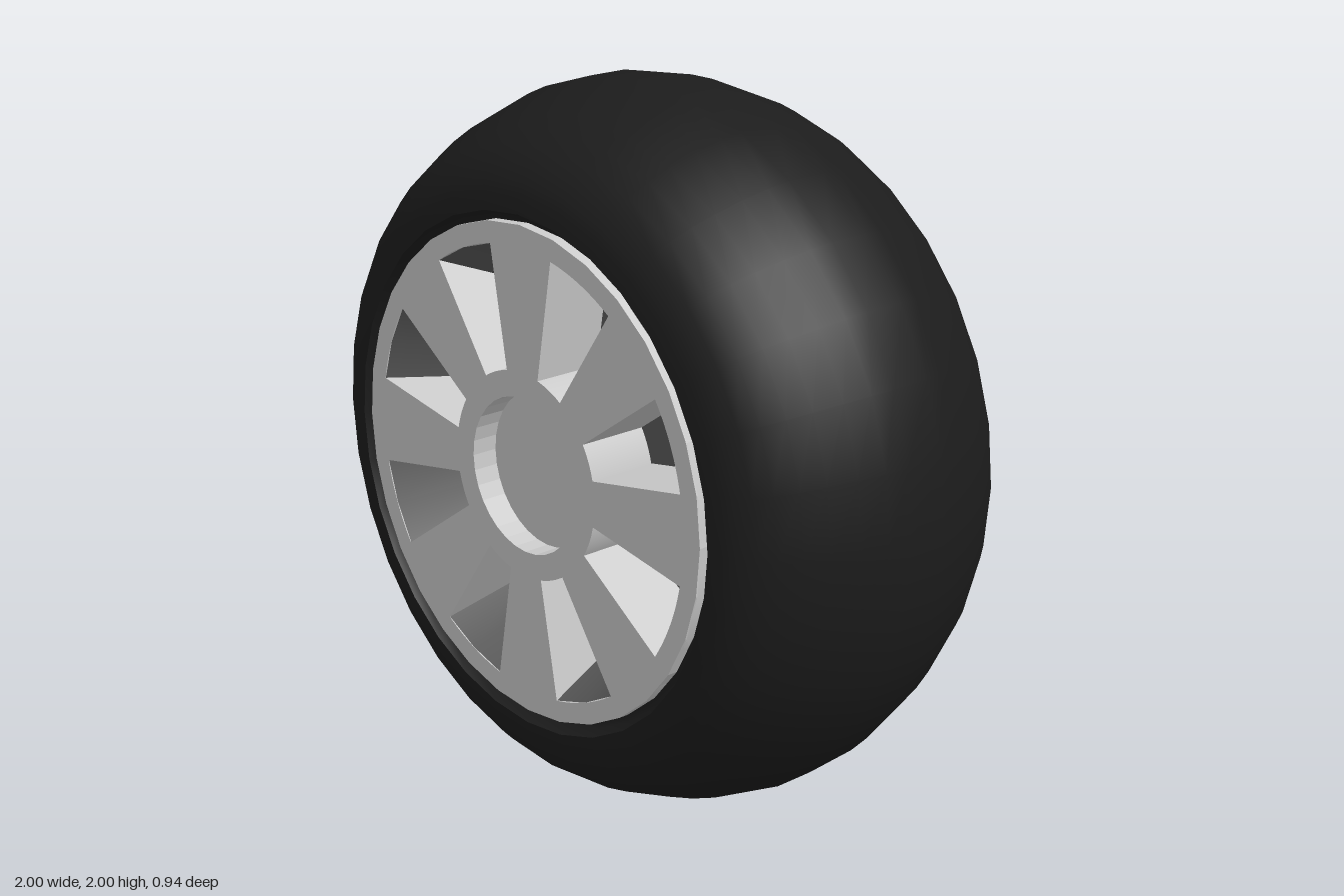
import * as THREE from 'three';

const SIDES = 32;
const paint = (color) => new THREE.MeshStandardMaterial({ color });
const rubber = paint(0x1c1c1c);
const metal = paint(0xcccccc);
const shade = paint(0x5a5a5a);

// Turn a profile of [radius, z] points around the axle
function turned(name, profile, material) {
  const points = profile.map(([r, z]) => new THREE.Vector2(r, z));
  const geometry = new THREE.LatheGeometry(points, SIDES).rotateX(Math.PI / 2);
  const mesh = new THREE.Mesh(geometry, material);
  mesh.name = name;
  return mesh;
}

// Wedge-shaped opening between two spokes
function spokeWindow(angle) {
  const hole = new THREE.Path();
  const inner = 0.17, outer = 0.195;
  hole.absarc(0, 0, 0.285, angle - inner, angle + inner, false);
  hole.absarc(0, 0, 0.62, angle + outer, angle - outer, true);
  hole.closePath();
  return hole;
}

function spokePlate(front, depth) {
  const shape = new THREE.Shape();
  shape.absarc(0, 0, 0.68, 0, Math.PI * 2, false);
  const hub = new THREE.Path();
  hub.absarc(0, 0, 0.215, 0, Math.PI * 2, true);
  shape.holes.push(hub);
  for (let i = 0; i < 8; i++) shape.holes.push(spokeWindow((i + 0.5) * Math.PI / 4));
  const geometry = new THREE.ExtrudeGeometry(shape, { depth, bevelEnabled: false, curveSegments: SIDES / 2 });
  const mesh = new THREE.Mesh(geometry.translate(0, 0, front - depth), metal);
  mesh.name = 'spokePlate';
  return mesh;
}

export function createModel() {
  // Tyre: rounded tread, mirrored about the middle, with a bead lip on each side
  const tyre = new THREE.Group();
  tyre.name = 'tyreGroup';
  const half = [[0.71, 0.47], [0.755, 0.463], [0.79, 0.45], [0.83, 0.425], [0.868, 0.388], [0.905, 0.335],
    [0.936, 0.275], [0.966, 0.2], [0.988, 0.125], [1, 0.06]];
  const back = half.map(([r, z]) => [r, -z]);
  tyre.add(turned('tyre', [...back, ...half.reverse()], rubber));
  tyre.add(turned('frontBead', [[0.71, 0.47], [0.695, 0.43], [0.67, 0.43]], rubber));
  tyre.add(turned('backBead', [[0.67, -0.43], [0.695, -0.43], [0.71, -0.47]], rubber));

  // Rim: outer barrel and the funnel-like bowl closing the back
  const rim = new THREE.Group();
  rim.name = 'rim';
  rim.position.x = -0.008;
  rim.add(turned('rimBarrel', [[0.68, -0.455], [0.68, 0.455]], metal));
  rim.add(turned('rimBowl', [[0, 0.05], [0.1, 0.04], [0.2, 0.005], [0.3, -0.07], [0.42, -0.2],
    [0.54, -0.33], [0.64, -0.435], [0.68, -0.455]], metal));

  // Dark dish seen through the windows: steep wall and flat floor
  rim.add(turned('dishWall', [[0.62, 0.459], [0.53, 0.26]], shade));
  rim.add(turned('dishFloor', [[0.53, 0.26], [0, 0.26]], shade));

  // Spoked face with a recessed hub
  rim.add(spokePlate(0.46, 0.21));
  const hub = new THREE.Mesh(new THREE.CylinderGeometry(0.216, 0.216, 0.13, SIDES).rotateX(Math.PI / 2), metal);
  hub.name = 'hub';
  hub.position.z = 0.32;
  rim.add(hub);

  const model = new THREE.Group();
  const wheel = new THREE.Group();
  wheel.name = 'wheel';
  wheel.position.y = 1;
  wheel.add(tyre, rim);
  model.add(wheel);
  return model;
}
